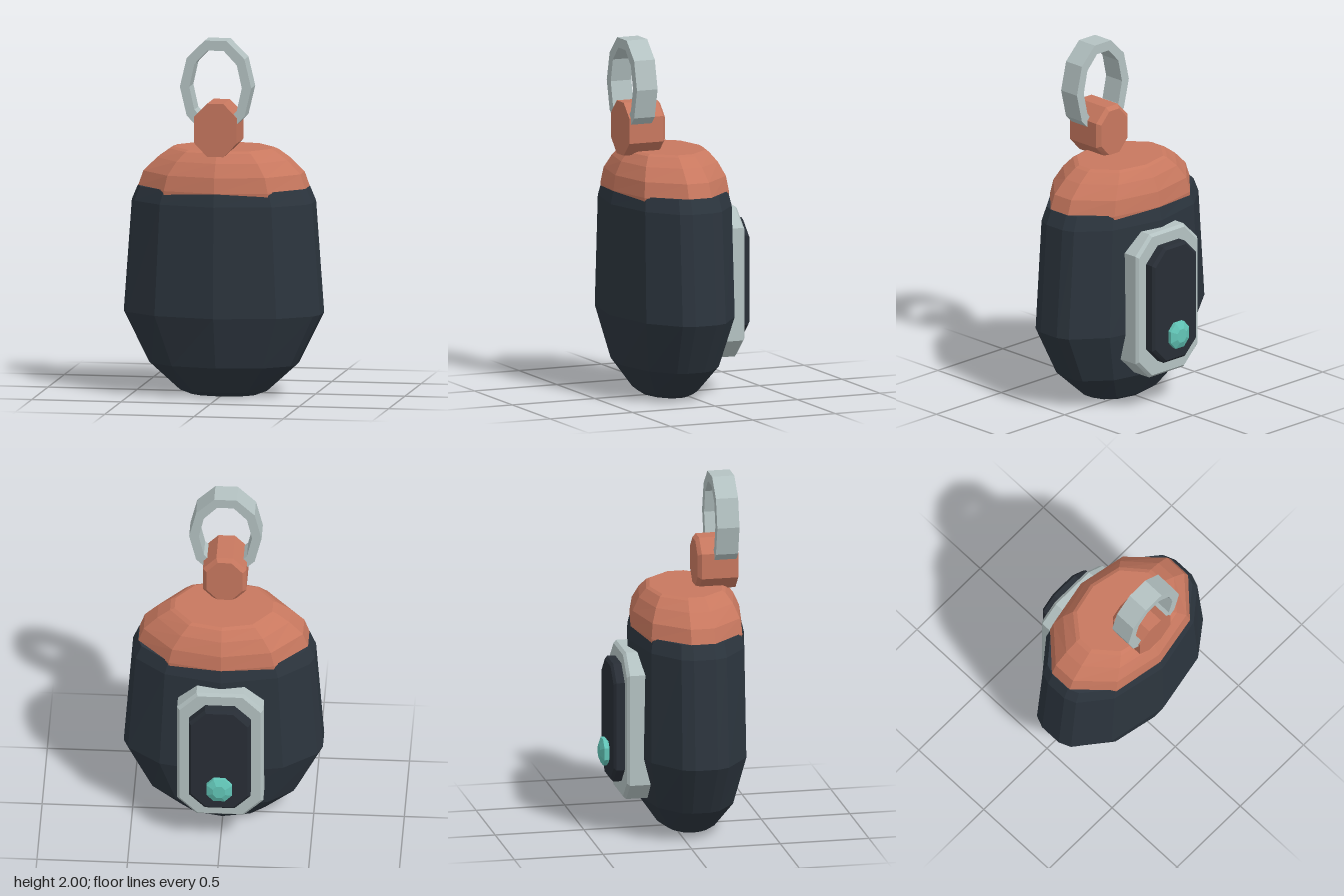
import * as THREE from 'three';

const material = (name, color) => {
  const m = new THREE.MeshStandardMaterial({ color });
  m.name = name;
  return m;
};

// Outline from one quarter (counterclockwise, x then y), mirrored to all four
function mirrorQuarter(quarter) {
  const flipped = [...quarter].reverse();
  const all = [
    ...quarter,
    ...flipped.map(([x, y]) => [-x, y]),
    ...quarter.map(([x, y]) => [-x, -y]),
    ...flipped.map(([x, y]) => [x, -y]),
  ];
  return all.filter(([x, y], i) => {
    const [px, py] = all[(i + all.length - 1) % all.length];
    return Math.hypot(x - px, y - py) > 1e-6;
  });
}

// Octagon with half width 1 and half height 1; cx, cy set the flat lengths
const octagon = (cx, cy) => mirrorQuarter([[1, cy], [cx, 1]]);

// Faceted loft along z: levels are [z, half width, half height]
function loft(outline, levels) {
  const n = outline.length;
  const pos = [];
  const point = (l, i) => {
    const [z, sx, sy] = levels[l];
    const [x, y] = outline[i % n];
    return [x * sx, y * sy, z];
  };
  const tri = (a, b, c) => pos.push(...a, ...b, ...c);
  const last = levels.length - 1;
  for (let i = 0; i < n; i++) {
    for (let l = 0; l < last; l++) {
      tri(point(l, i), point(l, i + 1), point(l + 1, i + 1));
      tri(point(l, i), point(l + 1, i + 1), point(l + 1, i));
    }
    tri([0, 0, levels[0][0]], point(0, i + 1), point(0, i));
    tri([0, 0, levels[last][0]], point(last, i), point(last, i + 1));
  }
  const g = new THREE.BufferGeometry();
  g.setAttribute('position', new THREE.Float32BufferAttribute(pos, 3));
  g.computeVertexNormals();
  return g;
}

export function createModel() {
  const model = new THREE.Group();
  model.name = 'capsuleCharm';
  const shell = material('charcoal shell', 0x2c353e);
  const panelDark = material('dark panel', 0x282e36);
  const copper = material('terracotta', 0xc8785f);
  const silver = material('pale silver', 0xb4c2c2);
  const teal = material('teal gem', 0x62c6b8);

  const add = (name, geometry, mat) => {
    const mesh = new THREE.Mesh(geometry, mat);
    mesh.name = name;
    model.add(mesh);
    return mesh;
  };

  // Oval body, lofted upwards
  const bodyOutline = mirrorQuarter([[1, 0.19], [0.95, 0.39], [0.62, 0.8], [0, 1]]);
  const body = loft(bodyOutline, [
    [0, 0.18, 0.12], [0.025, 0.245, 0.16], [0.175, 0.41, 0.265], [0.46, 0.55, 0.335],
    [1.08, 0.505, 0.328], [1.16, 0.472, 0.31],
  ]).rotateX(-Math.PI / 2);
  add('body', body, shell).position.z = 0.075;

  // Domed cap
  const capOutline = mirrorQuarter([[1, 0.22], [0.62, 0.82], [0, 1]]);
  const cap = loft(capOutline, [
    [1.08, 0.47, 0.305], [1.155, 0.47, 0.312], [1.24, 0.44, 0.3],
    [1.315, 0.365, 0.265], [1.365, 0.295, 0.225], [1.375, 0.27, 0.205],
  ]).rotateX(-Math.PI / 2);
  add('cap', cap, copper).position.z = 0.075;

  // Eight-sided lug holding the ring, bevelled at the back
  const lug = loft(octagon(0.38, 0.48), [
    [0.12, 0.1, 0.128], [0.14, 0.12, 0.148], [0.345, 0.12, 0.148],
  ]);
  add('lug', lug, copper).position.y = 1.502;

  // Ten-sided oval ring
  const decagon = (rx, ry) => Array.from({ length: 10 }, (_, i) => {
    const a = (i * Math.PI) / 5;
    return new THREE.Vector2(rx * Math.cos(a), ry * Math.sin(a));
  });
  const ringShape = new THREE.Shape(decagon(0.2, 0.273));
  ringShape.holes.push(new THREE.Path(decagon(0.147, 0.215)));
  const ring = new THREE.ExtrudeGeometry(ringShape, { depth: 0.125, bevelEnabled: false });
  add('keyRing', ring, silver).position.set(0, 1.74, 0.21);

  // Back plates, lofted outwards towards -z
  const addBack = (name, outline, levels, y, mat) => {
    add(name, loft(outline, levels).rotateY(Math.PI), mat).position.y = y;
  };
  addBack('backFrame', octagon(0.55, 0.75),
    [[0.14, 0.238, 0.42], [0.29, 0.238, 0.42], [0.306, 0.224, 0.405]], 0.62, silver);
  addBack('backPanel', octagon(0.48, 0.74),
    [[0.29, 0.17, 0.338], [0.352, 0.17, 0.338], [0.366, 0.156, 0.323]], 0.628, panelDark);

  // Faceted gem button
  addBack('gemButton', octagon(0.45, 0.45),
    [[0.36, 0.048, 0.052], [0.378, 0.07, 0.074], [0.398, 0.07, 0.074], [0.415, 0.034, 0.038]],
    0.445, teal);

  return model;
}
